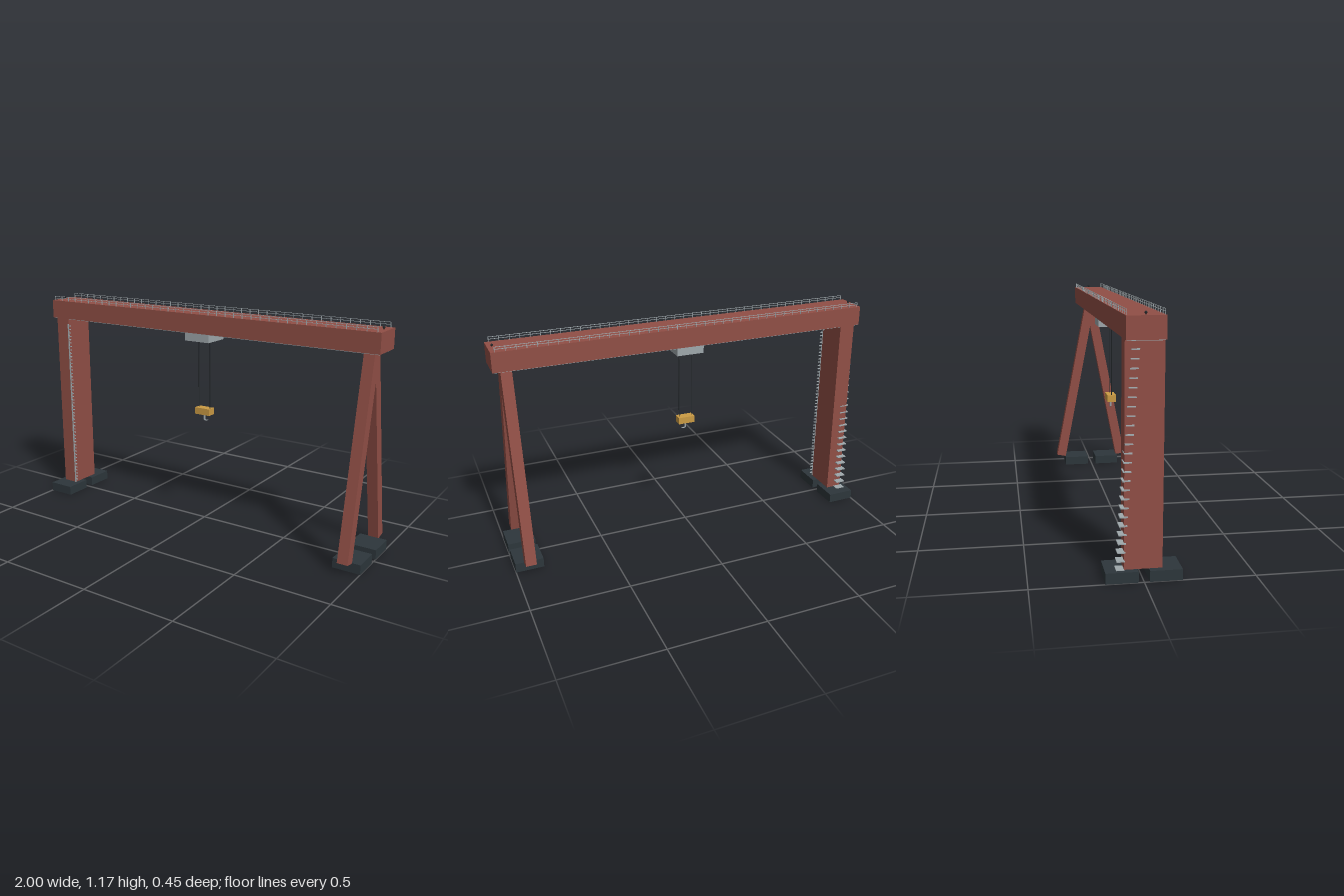
import * as THREE from 'three';

const mat = (name, color) => {
  const m = new THREE.MeshStandardMaterial({ color });
  m.name = name;
  return m;
};

export function createModel() {
  const crane = new THREE.Group();
  crane.name = 'gantryCrane';
  const red = mat('brickRed', 0x914f46);
  const grey = mat('steelGrey', 0x9fa8ac);
  const dark = mat('darkSlate', 0x2d363b);
  const yellow = mat('hookYellow', 0xcb9b44);
  const rope = mat('ropeBlack', 0x23282b);

  const add = (name, geo, material, x, y, z, parent = crane) => {
    const mesh = new THREE.Mesh(geo, material);
    mesh.name = name;
    mesh.position.set(x, y, z);
    parent.add(mesh);
    return mesh;
  };
  // Box given by its lower and upper limits on each axis
  const box = (name, material, [x0, x1], [y0, y1], [z0, z1], parent) =>
    add(name, new THREE.BoxGeometry(x1 - x0, y1 - y0, z1 - z0), material,
      (x0 + x1) / 2, (y0 + y1) / 2, (z0 + z1) / 2, parent);
  const group = (name) => {
    const g = new THREE.Group();
    g.name = name;
    crane.add(g);
    return g;
  };

  // Main girder with its steel underside
  box('girder', red, [-1, 1], [1.05, 1.15], [-0.085, 0.085]);
  box('girderUnderside', grey, [-0.995, 0.995], [1.047, 1.051], [-0.081, 0.081]);

  // Solid leg at one end
  box('solidLeg', red, [-0.97, -0.885], [0.05, 1.05], [-0.085, 0.085]);

  // Splayed legs at the other end, and the four feet
  const tilt = Math.atan2(0.192, 0.988);
  for (const s of [1, -1]) {
    const leg = add('splayedLeg', new THREE.BoxGeometry(0.055, 1.007, 0.056), red, 0.928, 0.546, s * 0.099);
    leg.rotation.x = -s * tilt;
    for (const x of [-0.9275, 0.9275])
      add('foot', new THREE.BoxGeometry(0.145, 0.05, 0.145), dark, x, 0.025, s * 0.0975);
  }

  // Ladder along the front inner corner of the solid leg
  const ladder = group('ladder');
  box('ladderRail', grey, [-0.888, -0.883], [0.05, 1.02], [0.084, 0.09], ladder);
  for (let y = 0.07; y < 1.02; y += 0.02)
    box('ladderRung', grey, [-0.888, -0.869], [y - 0.0025, y + 0.0025], [0.084, 0.09], ladder);

  // Steps leaning into the back of the solid leg
  const stairs = group('stairs');
  for (let i = 0; i < 25; i++) {
    const y = 0.05 + i * 0.04;
    const z = -0.121 + i * 0.0026;
    box('step', grey, [-0.98, -0.928], [y - 0.002, y + 0.003], [z, z + 0.036], stairs);
  }

  // Railings on both edges of the girder
  const railings = group('railings');
  for (const z of [0.081, -0.081]) {
    for (const y of [1.163, 1.174])
      box('handrail', grey, [-0.98, 0.98], [y - 0.001, y + 0.001], [z - 0.0015, z + 0.0015], railings);
    for (let i = 0; i < 40; i++) {
      const x = -0.98 + i * 0.05025;
      box('railPost', grey, [x - 0.0015, x + 0.0015], [1.149, 1.175], [z - 0.0015, z + 0.0015], railings);
    }
  }

  // Small lamps on the girder ends
  for (const x of [-0.977, 0.977]) {
    add('lamp', new THREE.SphereGeometry(0.006, 10, 8), rope, x, 1.16, 0);
    add('lampStem', new THREE.CylinderGeometry(0.002, 0.002, 0.01, 6), rope, x, 1.154, 0);
  }

  // Trolley, ropes and hook block
  box('trolley', grey, [-0.073, 0.073], [1.005, 1.05], [-0.073, 0.073]);
  for (const x of [-0.035, 0.035])
    add('rope', new THREE.CylinderGeometry(0.0018, 0.0018, 0.37, 6), rope, x, 0.82, 0);
  box('hookBlock', yellow, [-0.045, 0.045], [0.6, 0.636], [-0.023, 0.023]);

  // Hook
  const hook = group('hook');
  add('hookShank', new THREE.CylinderGeometry(0.005, 0.005, 0.032, 8), grey, 0, 0.586, 0, hook);
  const curve = add('hookCurve', new THREE.TorusGeometry(0.01, 0.0045, 8, 14, Math.PI), grey, 0.01, 0.573, 0, hook);
  curve.rotation.z = Math.PI;
  curve.scale.y = 0.7;

  return crane;
}
